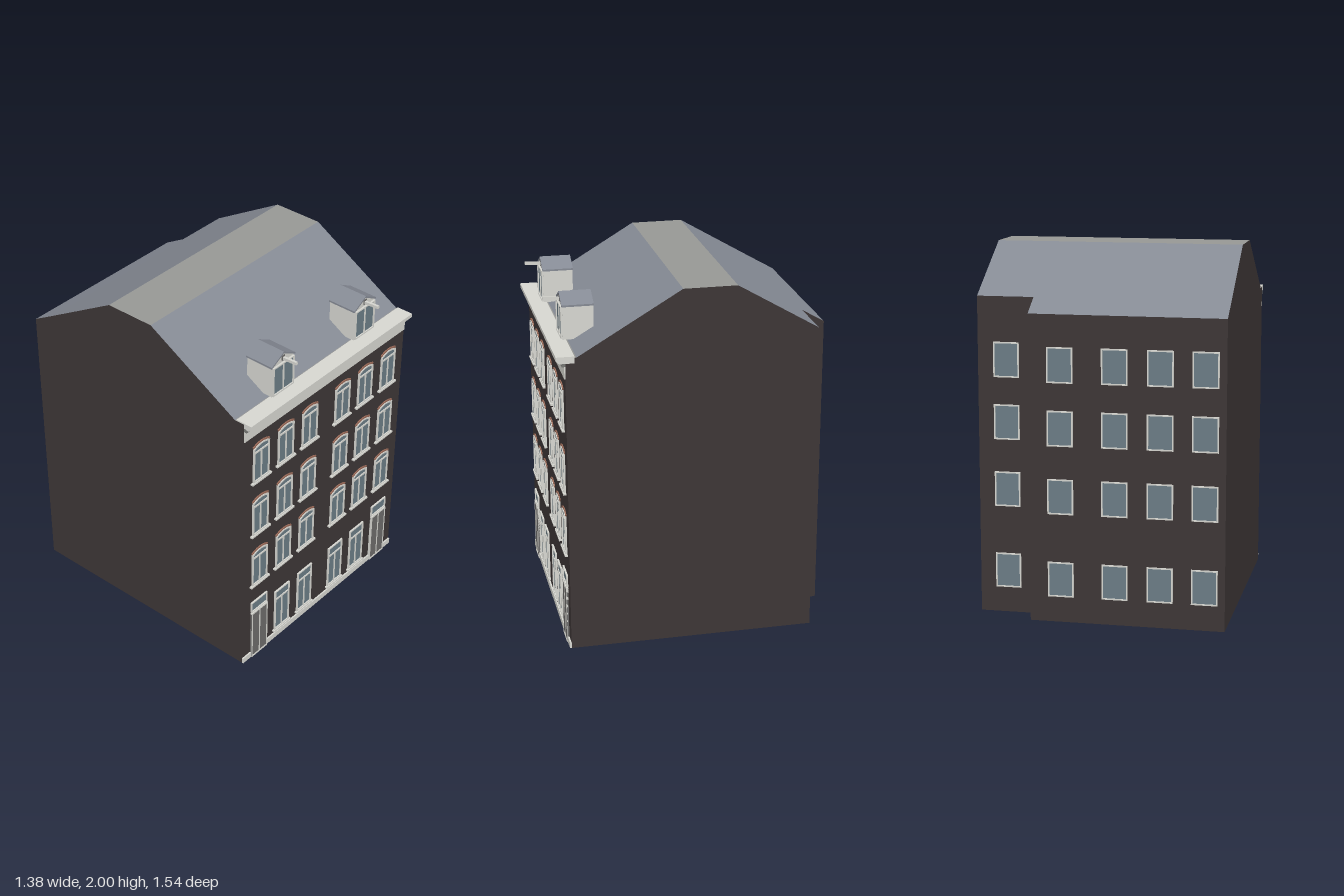
import * as THREE from 'three';

const mat = (color) => new THREE.MeshStandardMaterial({ color, flatShading: true, side: THREE.DoubleSide });
const BRICK = mat(0x3d3636), TRIM = mat(0xd6d6d0), GLASS = mat(0x6b7c85), DOOR = mat(0x6c6b6a);
const SLATE = mat(0x858a94), FLAT = mat(0x969794), ARCH = mat(0x9a6a58), SHADOW = mat(0x757673);

const FRONT = 0.71, BACK = -0.765, STEP_Z = -0.64, STEP_X = 0.37;
// party walls run slightly out of square
const xl = (z) => -0.68 + 0.0135 * z;
const xr = (z) => 0.685 + 0.005 * z;

function add(parent, name, geo, material, x = 0, y = 0, z = 0) {
  const m = new THREE.Mesh(geo, material);
  m.name = name;
  m.position.set(x, y, z);
  parent.add(m);
  return m;
}
const box = (parent, name, material, w, h, d, x, y, z) =>
  add(parent, name, new THREE.BoxGeometry(w, h, d), material, x, y, z);

// quads between rows of points, flat shaded
function loft(rows) {
  const pos = [];
  for (let r = 0; r < rows.length - 1; r++)
    for (let i = 0; i < rows[r].length - 1; i++) {
      const a = rows[r][i], b = rows[r][i + 1], c = rows[r + 1][i + 1], d = rows[r + 1][i];
      pos.push(...a, ...b, ...c, ...a, ...c, ...d);
    }
  const g = new THREE.BufferGeometry();
  g.setAttribute('position', new THREE.Float32BufferAttribute(pos, 3));
  g.computeVertexNormals();
  return g;
}

// rectangle standing on y = 0 with an optional segmental arch on top
function opening(T, w, h, rise, inset = 0) {
  const s = new T(), a = w / 2 - inset, top = h - inset - rise;
  s.moveTo(-a, inset);
  s.lineTo(a, inset);
  s.lineTo(a, top);
  if (rise) s.quadraticCurveTo(0, top + 2 * rise, -a, top);
  else s.lineTo(-a, top);
  s.closePath();
  return s;
}
const extrude = (shape, depth) =>
  new THREE.ExtrudeGeometry(shape, { depth, bevelEnabled: false, curveSegments: 6 });

// framed window facing +z, its lower edge at the group's origin
function makeWindow(name, w, h, { rise = 0, transom = 0, mullion = 0, depth = 0.01, frame = 0.008 } = {}) {
  const g = new THREE.Group();
  g.name = name;
  const outline = opening(THREE.Shape, w, h, rise);
  outline.holes.push(opening(THREE.Path, w, h, rise, frame));
  add(g, 'windowFrame', extrude(outline, depth), TRIM);
  add(g, 'windowGlass', new THREE.ShapeGeometry(opening(THREE.Shape, w, h, rise, frame), 6), GLASS, 0, 0, 0.003);
  if (transom) box(g, 'transom', TRIM, w - frame, 0.01, depth * 0.8, 0, transom, depth * 0.4);
  if (mullion) box(g, 'mullion', TRIM, 0.008, mullion, depth * 0.8, 0, mullion / 2, depth * 0.4);
  return g;
}

function brickArch(w, rise, t) {
  const s = new THREE.Shape(), a = w / 2;
  s.moveTo(-a, 0);
  s.quadraticCurveTo(0, 2 * rise, a, 0);
  s.lineTo(a + 0.003, t);
  s.quadraticCurveTo(0, 2 * rise + t, -a - 0.003, t);
  s.closePath();
  return extrude(s, 0.006);
}

function makeDormer() {
  const g = new THREE.Group();
  g.name = 'dormer';
  const s = new THREE.Shape();
  [[-0.085, 1.685], [0.085, 1.685], [0.085, 1.87], [0, 1.915], [-0.085, 1.87]]
    .forEach(([x, y], i) => (i ? s.lineTo(x, y) : s.moveTo(x, y)));
  add(g, 'dormerWalls', extrude(s, 0.165), TRIM, 0, 0, 0.515);
  // pitched slate covering
  const r = new THREE.Shape();
  [[-0.094, 1.865], [0, 1.916], [0.094, 1.865], [0.094, 1.875], [0, 1.927], [-0.094, 1.875]]
    .forEach(([x, y], i) => (i ? r.lineTo(x, y) : r.moveTo(x, y)));
  add(g, 'dormerRoof', extrude(r, 0.171), SLATE, 0, 0, 0.514);
  const w = makeWindow('dormerWindow', 0.168, 0.175, { mullion: 0.17 });
  w.position.set(0, 1.69, 0.68);
  g.add(w);
  box(g, 'hoistPlate', DOOR, 0.022, 0.03, 0.004, 0, 1.89, 0.682);
  const beam = box(g, 'hoistBeam', TRIM, 0.014, 0.016, 0.09, 0, 1.89, 0.725);
  beam.rotation.x = -0.06;
  return g;
}

export function createModel() {
  const house = new THREE.Group();
  house.name = 'townHouse';

  // brick walls: one loop round the plan, [x, wall top, z]
  const profile = [[FRONT, 1.67], [0.65, 1.67], [0.09, 2], [-0.2, 2], [STEP_Z, 1.742], [BACK, 1.67]];
  const loop = [
    ...profile.slice(0, 5).map(([z, y]) => [xr(z), y, z]),
    [STEP_X, 1.742, STEP_Z], [STEP_X, 1.67, BACK],
    ...profile.slice().reverse().map(([z, y]) => [xl(z), y, z]),
  ];
  loop.push(loop[0]);
  add(house, 'brickWalls', loft([loop.map(([x, , z]) => [x, 0, z]), loop]), BRICK);
  const plan = new THREE.Shape(loop.slice(0, -1).map(([x, , z]) => new THREE.Vector2(x, z)));
  add(house, 'base', new THREE.ShapeGeometry(plan).rotateX(Math.PI / 2), BRICK);

  // roof planes from front eave to back eave
  profile.slice(0, -1).forEach(([z, y], i) => {
    const [z2, y2] = profile[i + 1];
    const last = i === 4;
    const rows = [
      [[xl(z), y, z], [last ? STEP_X : xr(z), y, z]],
      [[xl(z2), y2, z2], [last ? STEP_X : xr(z2), y2, z2]],
    ];
    const level = y === y2;
    add(house, level ? 'flatRoof' : 'roofSlope', loft(rows), level ? FLAT : SLATE);
  });

  // frieze, shadow line, gutter and plinth across the front
  const wide = xr(FRONT) - xl(FRONT), mid = (xr(FRONT) + xl(FRONT)) / 2;
  box(house, 'frieze', TRIM, wide, 0.07, 0.006, mid, 1.59, FRONT + 0.002);
  box(house, 'shadowLine', SHADOW, wide, 0.022, 0.02, mid, 1.634, FRONT + 0.008);
  const c = new THREE.Shape();
  [[0.66, 1.64], [0.74, 1.64], [0.758, 1.655], [0.758, 1.677], [0.66, 1.677]]
    .forEach(([z, y], i) => (i ? c.lineTo(-z, y) : c.moveTo(-z, y)));
  add(house, 'gutter', extrude(c, wide).rotateY(Math.PI / 2), TRIM, xl(FRONT), 0, 0);
  box(house, 'plinth', TRIM, wide, 0.035, 0.012, mid, 0.0175, FRONT + 0.003);

  // front windows: three arched storeys over a ground floor
  const columns = [-0.535, -0.335, -0.135, 0.145, 0.345, 0.55];
  columns.forEach((x, i) => {
    for (const y of [0.53, 0.89, 1.25]) {
      const w = makeWindow('frontWindow', 0.126, 0.238, { rise: 0.016, transom: 0.19, mullion: 0.19 });
      w.position.set(x, y, FRONT);
      house.add(w);
      add(house, 'brickArch', brickArch(0.126, 0.016, 0.01), ARCH, x, y + 0.222, FRONT);
      box(house, 'windowSill', TRIM, 0.155, 0.01, 0.016, x, y - 0.004, FRONT + 0.008);
    }
    if (i > 0 && i < 5) {
      const w = makeWindow('groundWindow', 0.126, 0.287, { transom: 0.223, mullion: 0.223 });
      w.position.set(x, 0.06, FRONT);
      house.add(w);
      box(house, 'windowSill', TRIM, 0.148, 0.01, 0.016, x, 0.056, FRONT + 0.008);
      return;
    }
    // double door with a light above
    const light = makeWindow('doorLight', 0.134, 0.07, { frame: 0.006 });
    light.position.set(x, 0.335, FRONT);
    house.add(light);
    const door = new THREE.Group();
    door.name = 'frontDoor';
    door.position.set(x, 0, FRONT);
    house.add(door);
    box(door, 'doorLeaves', DOOR, 0.134, 0.32, 0.012, 0, 0.16, 0.005);
    box(door, 'doorStep', TRIM, 0.134, 0.01, 0.016, 0, 0.005, 0.006);
    for (const px of [-0.063, 0, 0.063]) box(door, 'doorPost', TRIM, 0.008, 0.32, 0.014, px, 0.165, 0.006);
    box(door, 'doorHead', TRIM, 0.134, 0.01, 0.014, 0, 0.325, 0.006);
  });

  // rear windows, the last column on the set-back wall
  for (const x of [-0.58, -0.34, -0.095, 0.2, 0.525])
    for (const y of [0.14, 0.595, 0.965, 1.305]) {
      const w = makeWindow('rearWindow', 0.142, 0.192, { depth: 0.006 });
      w.rotation.y = Math.PI;
      w.position.set(x, y, x > STEP_X ? STEP_Z : BACK);
      house.add(w);
    }

  for (const x of [-0.333, 0.348]) {
    const d = makeDormer();
    d.position.x = x;
    house.add(d);
  }
  return house;
}
